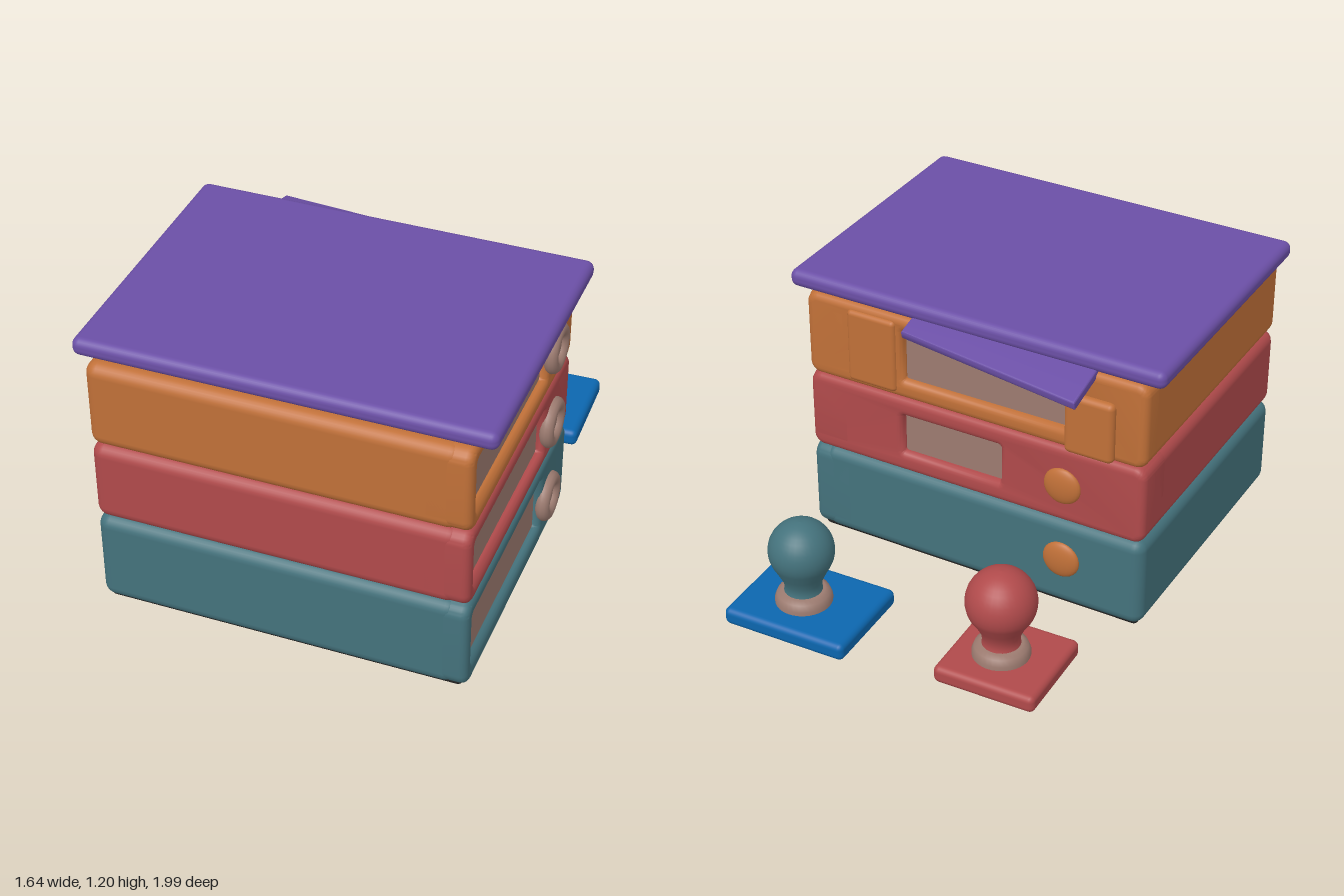
import * as THREE from 'three';
import { toCreasedNormals } from 'three/addons/utils/BufferGeometryUtils.js';
import { RoundedBoxGeometry } from 'three/addons/geometries/RoundedBoxGeometry.js';

const mat = (name, color) => Object.assign(new THREE.MeshStandardMaterial({ color }), { name });
const M = {
  orange: mat('orange', 0xc07038), red: mat('red', 0xb04a4b), teal: mat('teal', 0x44727c),
  purple: mat('purple', 0x6b4fa6), paper: mat('paper', 0x9c7b70), blue: mat('blue', 0x0c66ae),
  black: mat('black', 0x262626), shade: mat('shade', 0x4b4a45),
};

function add(parent, name, geo, material, x = 0, y = 0, z = 0) {
  const m = new THREE.Mesh(geo, material);
  m.name = name;
  m.position.set(x, y, z);
  parent.add(m);
  return m;
}

// rounded box given by its extents
function block(parent, name, material, [x0, x1], [y0, y1], [z0, z1], r) {
  return add(parent, name, new RoundedBoxGeometry(x1 - x0, y1 - y0, z1 - z0, 3, r), material,
    (x0 + x1) / 2, (y0 + y1) / 2, (z0 + z1) / 2);
}

function roundRect(path, a0, a1, b0, b1, r) {
  path.absarc(a1 - r, b0 + r, r, -Math.PI / 2, 0);
  path.absarc(a1 - r, b1 - r, r, 0, Math.PI / 2);
  path.absarc(a0 + r, b1 - r, r, Math.PI / 2, Math.PI);
  path.absarc(a0 + r, b0 + r, r, Math.PI, Math.PI * 1.5);
  path.closePath();
  return path;
}

// softly bevelled slab with an optional window; it spans local z 0..depth
function slab(shape, depth, b) {
  const g = new THREE.ExtrudeGeometry(shape, {
    depth: depth - 2 * b, bevelThickness: b, bevelSize: b, bevelOffset: -b, bevelSegments: 4, curveSegments: 6,
  });
  g.translate(0, 0, b);
  return toCreasedNormals(g, 0.7);
}

const X0 = -0.76, X1 = 0.745, Z0 = -0.24, Z1 = 0.99;

function binder(name, material, y0, y1, win, backWin) {
  const g = new THREE.Group();
  g.name = name;
  block(g, 'cover', material, [X0, X1 - 0.045], [y0, y1], [Z0 + (backWin ? 0.04 : 0), Z1], 0.05);

  // end frame with its window, extruded towards +x (shape u = -z)
  const side = roundRect(new THREE.Shape(), -Z1, -Z0, y0, y1, 0.06);
  side.holes.push(roundRect(new THREE.Path(), -0.92, -0.09, win[0] + 0.01, win[1] - 0.01, 0.01));
  add(g, 'endFrame', slab(side, 0.2, 0.03), material, X1 - 0.2).rotation.y = Math.PI / 2;

  // spine frame with its window, extruded towards -z (shape u = -x)
  if (backWin) {
    const [a0, a1, b0, b1] = backWin;
    const back = roundRect(new THREE.Shape(), -X1, -X0, y0, y1, 0.05);
    back.holes.push(roundRect(new THREE.Path(), -a1, -a0, b0, b1, 0.01));
    add(g, 'spineFrame', slab(back, 0.2, 0.03), material, 0, 0, Z0 + 0.2).rotation.y = Math.PI;
    add(g, 'spinePages', new THREE.BoxGeometry(a1 - a0 + 0.04, b1 - b0 + 0.04, 0.01), M.paper,
      (a0 + a1) / 2, (b0 + b1) / 2, Z0 + 0.036);
  }

  // finger ring on the end
  const yr = (y0 + y1) / 2 - 0.015;
  const torus = add(g, 'ring', new THREE.TorusGeometry(0.075, 0.03, 12, 36), M.paper, X1 + 0.003, yr, -0.003);
  torus.rotation.y = Math.PI / 2;
  const disc = add(g, 'ringCentre', new THREE.CylinderGeometry(0.07, 0.07, 0.02, 28), M.paper, X1, yr, -0.003);
  disc.rotation.z = Math.PI / 2;
  return g;
}

function endPages(parent, y0, y1) {
  add(parent, 'pages', new THREE.BoxGeometry(0.012, y1 - y0 + 0.02, 0.85), M.paper, X1 - 0.039, (y0 + y1) / 2, 0.51);
}

function knob(parent, y) {
  const k = add(parent, 'spineKnob', new THREE.SphereGeometry(0.08, 24, 16), M.orange, -0.41, y, Z0);
  k.scale.z = 0.35;
}

function stamp(name, material, handleMat, w, d, x, z, hx, hz, top, r) {
  const g = new THREE.Group();
  g.name = name;
  const base = add(g, 'base', new RoundedBoxGeometry(w, 0.075, d, 3, 0.025), material, x, 0.046, z);
  base.rotation.y = 0.03;
  const V = (a, b) => new THREE.Vector2(a, b);
  add(g, 'collar', new THREE.LatheGeometry(
    [V(0.115, 0.07), V(0.115, 0.1), V(0.105, 0.125), V(0.085, 0.137), V(0.001, 0.14)], 32), M.paper, hx, 0, hz);
  // pear-shaped grip: narrow neck flowing into a ball
  const pts = [V(0.085, 0.12), V(0.073, 0.145), V(0.077, 0.18), V(0.095, 0.22)];
  for (let i = 0; i <= 12; i++) {
    const a = -0.45 + (i / 12) * (Math.PI / 2 + 0.45);
    pts.push(V(Math.max(r * Math.cos(a), 0.0005), top - r + r * Math.sin(a)));
  }
  add(g, 'grip', new THREE.LatheGeometry(pts, 32), handleMat, hx, 0, hz);
  return g;
}

export function createModel() {
  const model = new THREE.Group();
  model.name = 'binderStackWithStamps';

  // bottom binder, with ragged pages in its window
  const low = binder('bottomBinder', M.teal, 0.012, 0.41, [0.09, 0.345], null);
  block(low, 'underside', M.black, [-0.735, 0.72], [0, 0.05], [-0.215, 0.965], 0.02);
  add(low, 'windowShade', new THREE.BoxGeometry(0.008, 0.28, 0.86), M.shade, X1 - 0.043, 0.218, 0.51);
  const ragged = new THREE.Shape();
  ragged.moveTo(-0.91, 0.09);
  ragged.lineTo(-0.09, 0.09);
  for (let i = 0; i <= 24; i++) {
    ragged.lineTo(-0.09 - (i / 24) * 0.82, 0.3 + 0.012 * Math.sin(i * 1.3) + 0.008 * Math.sin(i * 0.5));
  }
  const rag = new THREE.ExtrudeGeometry(ragged, { depth: 0.015, bevelEnabled: false });
  add(low, 'pages', rag, M.paper, X1 - 0.045).rotation.y = Math.PI / 2;
  knob(low, 0.23);

  // middle binder
  const mid = binder('middleBinder', M.red, 0.41, 0.755, [0.47, 0.69], [-0.13, 0.31, 0.5, 0.67]);
  endPages(mid, 0.47, 0.69);
  knob(mid, 0.58);

  // top binder, with a clip and a raised pad on its spine
  const high = binder('topBinder', M.orange, 0.755, 1.125, [0.82, 1.06], [-0.42, 0.3, 0.84, 1.06]);
  endPages(high, 0.82, 1.06);
  block(high, 'spineClip', M.orange, [-0.63, -0.42], [0.755, 1.02], [-0.268, -0.2], 0.025);
  block(high, 'spinePad', M.orange, [0.33, 0.55], [0.78, 1.1], [-0.254, -0.2], 0.02);

  // cover board lying on top, and the slanted flap behind it
  const board = new THREE.Group();
  board.name = 'coverBoard';
  block(board, 'board', M.purple, [-0.82, 0.82], [1.125, 1.2], [-0.24, 0.955], 0.032);
  const f = new THREE.Shape([[-0.54, -0.06], [0.26, -0.06], [0.26, 0.065], [-0.54, 0.167]]
    .map(([x, y]) => new THREE.Vector2(x, y)));
  add(board, 'flap', slab(f, 0.04, 0.008), M.purple, 0, 1.095, -0.24).rotation.x = -Math.PI / 2 - 0.25;

  model.add(low, mid, high, board,
    stamp('redStamp', M.red, M.red, 0.43, 0.41, -0.42, -0.7, -0.4, -0.705, 0.47, 0.14),
    stamp('blueStamp', M.blue, M.teal, 0.54, 0.425, 0.425, -0.78, 0.445, -0.79, 0.455, 0.132));
  return model;
}
